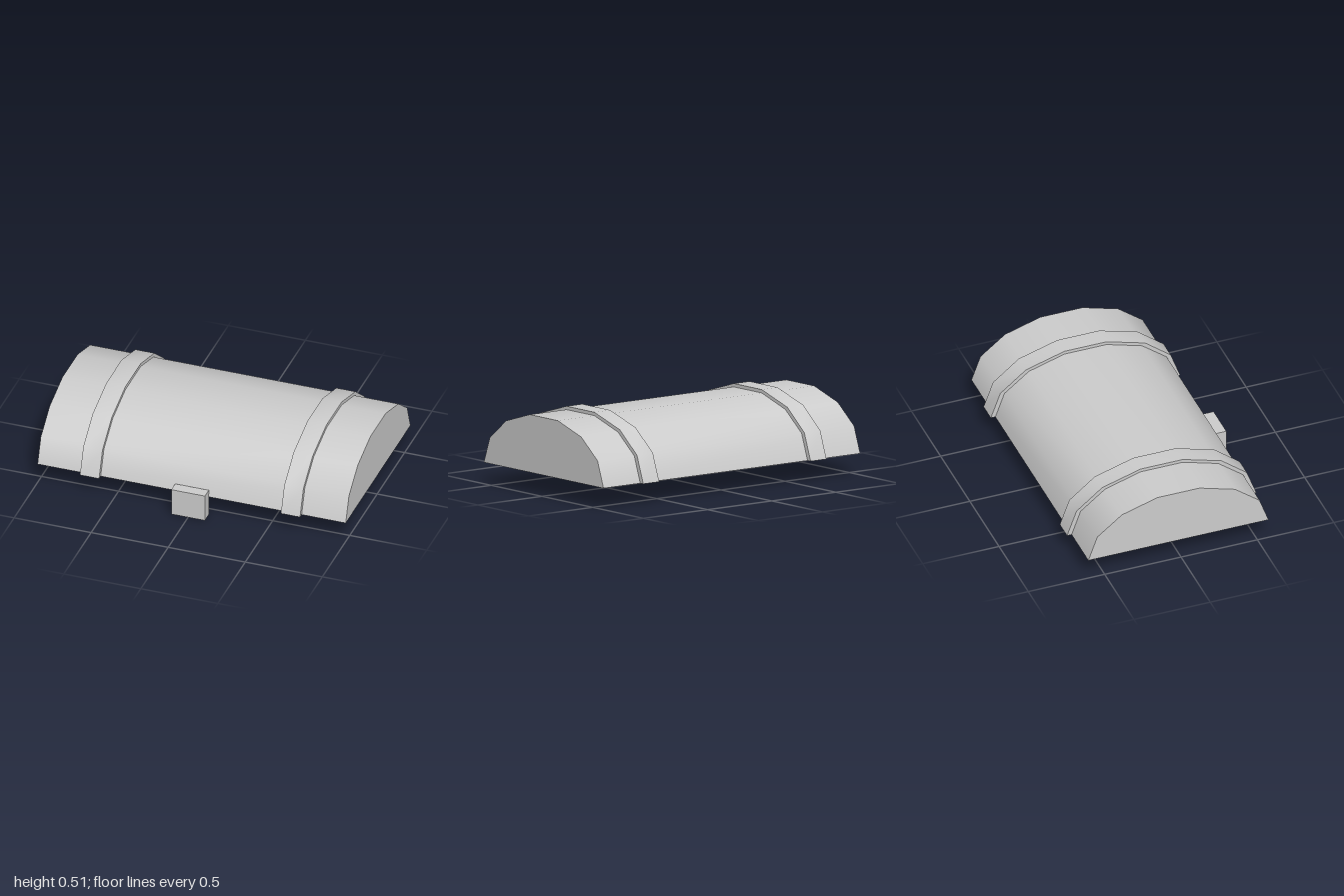
import * as THREE from 'three';
import { toCreasedNormals } from 'three/addons/utils/BufferGeometryUtils.js';

const ARC_CENTRE = 0.017; // the vault sits slightly towards the back
const BASE_Y = 0.133;

// Half profiles, as [distance from centre, height], base to crown
const LID = [[0.59, BASE_Y], [0.531, 0.295], [0.37, 0.421], [0.138, 0.491]];
const BAND = [[0.62, BASE_Y], [0.558, 0.302], [0.39, 0.437], [0.138, 0.512]];

// Mirror a half profile into a full arch
function arch(half) {
  const right = half.map(([d, y]) => new THREE.Vector2(ARC_CENTRE + d, y));
  const left = half.map(([d, y]) => new THREE.Vector2(ARC_CENTRE - d, y)).reverse();
  return [...right, ...left];
}

// Extrude an outline along x, smoothing the arch but keeping its ends sharp
function extrudeAlongX(points, width, x) {
  const geometry = new THREE.ExtrudeGeometry(new THREE.Shape(points), {
    depth: width, bevelEnabled: false,
  });
  geometry.rotateY(Math.PI / 2);
  geometry.translate(x - width / 2, 0, 0);
  return toCreasedNormals(geometry, 0.75);
}

export function createModel() {
  const model = new THREE.Group();
  model.name = 'chestLid';
  const grey = new THREE.MeshStandardMaterial({ color: 0xcccccc });
  grey.name = 'light grey';

  const add = (name, geometry) => {
    const mesh = new THREE.Mesh(geometry, grey);
    mesh.name = name;
    model.add(mesh);
    return mesh;
  };

  // Vaulted lid
  add('lid', extrudeAlongX(arch(LID), 2, 0));

  // Two raised bands wrapped over the lid
  const bandOutline = [...arch(BAND), ...arch(LID).reverse()];
  for (const side of [-1, 1]) {
    add(side > 0 ? 'leftBand' : 'rightBand', extrudeAlongX(bandOutline, 0.124, side * 0.652));
  }

  // Latch hanging from the front edge
  add('latch', new THREE.BoxGeometry(0.218, 0.177, 0.071)).position.set(0, 0.0885, 0.602);

  return model;
}
